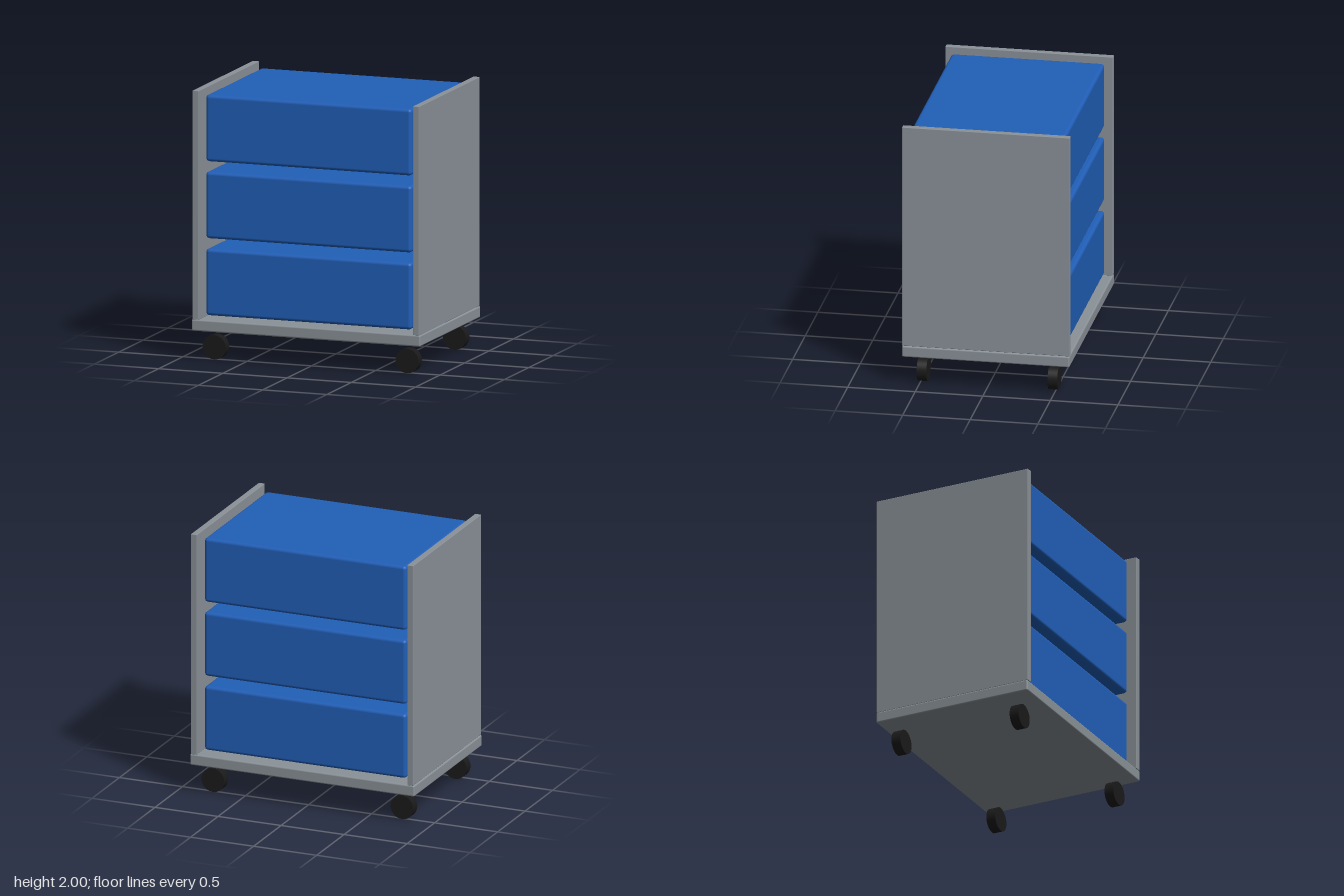
import * as THREE from 'three';
import { RoundedBoxGeometry } from 'three/addons/geometries/RoundedBoxGeometry.js';

export function createModel() {
  const cart = new THREE.Group();
  cart.name = 'drawerCart';

  const blue = new THREE.MeshStandardMaterial({ name: 'drawer blue', color: 0x215fb8 });
  const grey = new THREE.MeshStandardMaterial({ name: 'frame grey', color: 0x8a9298 });
  const black = new THREE.MeshStandardMaterial({ name: 'wheel black', color: 0x1a1a1a });

  const add = (name, geometry, material, x, y, z) => {
    const mesh = new THREE.Mesh(geometry, material);
    mesh.name = name;
    mesh.position.set(x, y, z);
    cart.add(mesh);
    return mesh;
  };

  // Base tray
  add('base', new RoundedBoxGeometry(1.78, 0.085, 1.24, 3, 0.012), grey, 0, 0.263, 0);

  // Side panels, standing on the base
  const panel = new RoundedBoxGeometry(0.048, 1.695, 1.24, 2, 0.004);
  for (const side of [-1, 1]) {
    add(side > 0 ? 'leftPanel' : 'rightPanel', panel, grey, side * 0.858, 1.1525, 0);
  }

  // Three stacked drawers
  const drawer = new RoundedBoxGeometry(1.6, 0.493, 1.134, 4, 0.025);
  ['bottomDrawer', 'middleDrawer', 'topDrawer'].forEach((name, i) => {
    add(name, drawer, blue, 0, 0.577 + i * 0.57, 0);
  });

  // Four wheels, axles along z
  const wheel = new THREE.CylinderGeometry(0.09, 0.09, 0.072, 40);
  wheel.rotateX(Math.PI / 2);
  for (const x of [-0.75, 0.75]) {
    for (const z of [-0.484, 0.484]) {
      add((z > 0 ? 'front' : 'back') + (x > 0 ? 'Left' : 'Right') + 'Wheel', wheel, black, x, 0.09, z);
    }
  }

  return cart;
}
